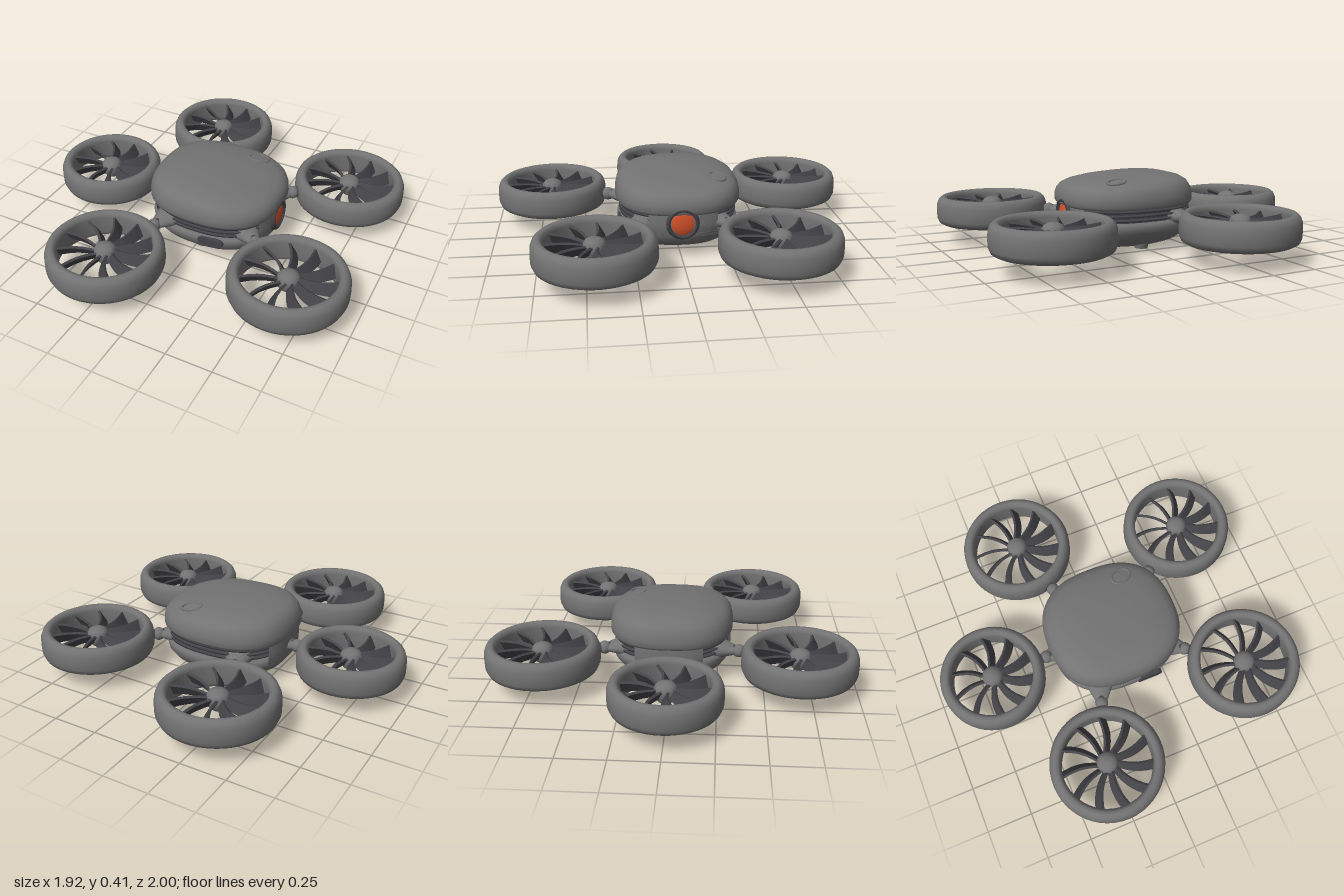
import * as THREE from 'three';
import { mergeVertices } from 'three/addons/utils/BufferGeometryUtils.js';

const grey = new THREE.MeshStandardMaterial({ color: 0x737373 });
grey.name = 'hull grey';
const dark = new THREE.MeshStandardMaterial({ color: 0x434348 });
dark.name = 'dark metal';
const orange = new THREE.MeshStandardMaterial({ color: 0xd2512a });
orange.name = 'lamp orange';

const CX = 0.037, CZ = -0.01, RX = 0.37, RZ = 0.34;

function add(parent, name, geometry, material, x = 0, y = 0, z = 0) {
  const mesh = new THREE.Mesh(geometry, material);
  mesh.name = name;
  mesh.position.set(x, y, z);
  parent.add(mesh);
  return mesh;
}

const lathe = (profile, segments, start = 0, length = Math.PI * 2) =>
  new THREE.LatheGeometry(profile.map(([r, y]) => new THREE.Vector2(r, y)), segments, start, length);

// Lathe squared off into a rounded-square plan; r = 1 is the full hull width
function hull(profile, start, length) {
  const g = lathe(profile, 64, start, length);
  g.deleteAttribute('uv');
  g.deleteAttribute('normal');
  const p = g.attributes.position;
  for (let i = 0; i < p.count; i++) {
    const x = p.getX(i), z = p.getZ(i), y = p.getY(i);
    const r = Math.hypot(x, z);
    // points on the axis stay where they are
    const k = r < 1e-6 ? 1 : (Math.abs(x / r) ** 2.5 + Math.abs(z / r) ** 2.5) ** (-1 / 2.5);
    // the lid leans slightly down towards +x
    const lean = y > 0.3 ? -0.022 * x * (y - 0.3) / 0.1 : 0;
    p.setXYZ(i, x * k * RX, y + lean, z * k * RZ);
  }
  const merged = mergeVertices(g, 1e-5);
  merged.computeVertexNormals();
  return merged;
}

// Pitched fan blade along +x, widening and sweeping towards the tip
function bladeGeometry() {
  const g = new THREE.BoxGeometry(0.21, 0.014, 0.075, 6, 1, 1);
  g.translate(0.15, 0, 0);
  const p = g.attributes.position;
  const pitch = 1.05;
  for (let i = 0; i < p.count; i++) {
    const x = p.getX(i), y = p.getY(i);
    const t = (x - 0.045) / 0.21;
    const z = p.getZ(i) * (0.6 + 0.4 * t);
    p.setXYZ(i, x,
      y * Math.cos(pitch) - z * Math.sin(pitch),
      y * Math.sin(pitch) + z * Math.cos(pitch) + 0.018 * Math.sin(t * Math.PI));
  }
  g.computeVertexNormals();
  return g;
}

function createRotor(radius, blades) {
  const rotor = new THREE.Group();
  rotor.name = 'rotor';
  // Duct with rounded rim, closed profile
  const o = radius, n = radius - 0.065;
  add(rotor, 'duct', lathe([
    [n + 0.012, 0.106], [o - 0.035, 0.1], [o - 0.012, 0.112], [o - 0.001, 0.138], [o, 0.178],
    [o - 0.002, 0.215], [o - 0.012, 0.24], [o - 0.028, 0.254], [o - 0.045, 0.255],
    [n + 0.006, 0.245], [n, 0.225], [n, 0.13], [n + 0.012, 0.106]], 48), grey);
  // Hub with domed cap
  add(rotor, 'hub', lathe([
    [0, 0.135], [0.035, 0.14], [0.052, 0.16], [0.058, 0.19], [0.057, 0.213],
    [0.046, 0.232], [0.025, 0.243], [0, 0.246]], 24), grey);
  const blade = bladeGeometry();
  for (let i = 0; i < blades; i++) {
    const b = add(rotor, 'blade', blade, dark, 0, 0.193, 0);
    b.rotation.y = (i + 0.3) / blades * Math.PI * 2;
    b.scale.x = (n + 0.01) / 0.255;
  }
  return rotor;
}

export function createModel() {
  const model = new THREE.Group();
  model.name = 'fiveRotorDrone';

  const body = new THREE.Group();
  body.name = 'body';
  body.position.set(CX, 0, CZ);
  model.add(body);

  // Domed lid, ribbed waist and shallow belly
  add(body, 'lid', hull([
    [0, 0.235], [0.88, 0.235], [0.97, 0.24], [1, 0.256], [1, 0.29], [0.975, 0.325], [0.92, 0.352],
    [0.83, 0.371], [0.66, 0.387], [0.4, 0.397], [0, 0.401]]), grey);
  add(body, 'belly', hull([
    [0, 0.006], [0.3, 0.009], [0.55, 0.02], [0.74, 0.043], [0.88, 0.077], [0.95, 0.112],
    [0.965, 0.14], [0.95, 0.16], [0.9, 0.167], [0, 0.167]]), grey);
  add(body, 'waist', hull([[0.88, 0.15], [0.88, 0.25]]), dark);
  for (let i = 0; i < 3; i++) {
    const y = 0.175 + i * 0.023;
    add(body, 'waistRib', hull([[0.87, y], [0.94, y + 0.002], [0.94, y + 0.011], [0.87, y + 0.013]]), dark);
  }
  // Solid cheeks on the +x and -x sides
  for (const centre of [Math.PI / 2, -Math.PI / 2]) {
    add(body, 'cheek', hull([[0.9, 0.12], [0.962, 0.13], [0.972, 0.19], [0.965, 0.25]],
      centre - 0.55, 1.1), grey);
  }

  // Rotors and their arms: x, z, radius, blade count, arm target x
  const rotors = [
    [-0.275, -0.69, 0.31, 11, -0.06], [0.645, -0.46, 0.31, 11, 0.04],
    [0.645, 0.455, 0.31, 11, 0.04], [-0.275, 0.685, 0.31, 11, -0.06], [-0.675, 0, 0.29, 10, 0]];
  for (const [x, z, radius, blades, tx] of rotors) {
    const rotor = createRotor(radius, blades);
    rotor.position.set(x, 0, z);
    model.add(rotor);

    const arm = new THREE.Group();
    arm.name = 'arm';
    arm.position.set(x, 0.18, z);
    arm.rotation.y = Math.atan2(z, tx - x);
    model.add(arm);
    const strut = add(arm, 'strut', new THREE.CylinderGeometry(0.028, 0.028, 0.12, 16), dark, radius + 0.02);
    strut.rotation.z = Math.PI / 2;
    add(arm, 'knuckle', new THREE.SphereGeometry(0.036, 18, 12), grey, radius + 0.026);
    const bracket = add(arm, 'bracket', new THREE.CylinderGeometry(0.09, 0.034, 0.12, 20), grey, radius + 0.1);
    bracket.rotation.z = -Math.PI / 2;
    bracket.scale.x = 0.65;
  }

  // Round lamp on the +x side
  const lamp = new THREE.Group();
  lamp.name = 'lamp';
  lamp.position.set(0.345, 0.195, -0.005);
  lamp.rotation.z = -Math.PI / 2;
  model.add(lamp);
  add(lamp, 'lampHousing', lathe([[0.085, -0.03], [0.088, 0.045], [0.08, 0.062],
    [0.068, 0.062], [0.064, 0.045], [0, 0.045]], 32), dark);
  add(lamp, 'lampLens', lathe([[0.064, 0.047], [0.05, 0.055], [0.025, 0.06], [0, 0.061]], 32), orange);

  // Oval hatch ring on the lid
  const hatch = add(model, 'hatchRing', new THREE.TorusGeometry(0.055, 0.008, 8, 28), grey, 0.18, 0.377, -0.215);
  hatch.rotation.set(-Math.PI / 2 - 0.13, 0.08, 0.3);
  hatch.scale.y = 0.75;

  // Dark slot in the front of the belly
  const slot = new THREE.Shape();
  slot.absarc(-0.05, 0, 0.022, Math.PI / 2, Math.PI * 1.5);
  slot.absarc(0.05, 0, 0.022, -Math.PI / 2, Math.PI / 2);
  const slotGeometry = new THREE.ExtrudeGeometry(slot, { depth: 0.025, bevelEnabled: false });
  add(model, 'frontSlot', slotGeometry, dark, 0.14, 0.14, 0.297);

  // Landing feet and belly sensor
  for (const z of [-0.21, 0.19]) {
    add(model, 'foot', new THREE.CylinderGeometry(0.045, 0.035, 0.04, 20), grey, 0.03, 0.03, z);
  }
  add(model, 'bellySensor', lathe([[0, 0], [0.028, 0.001], [0.036, 0.01], [0.036, 0.03]], 24), grey, -0.06, 0, 0);

  return model;
}
